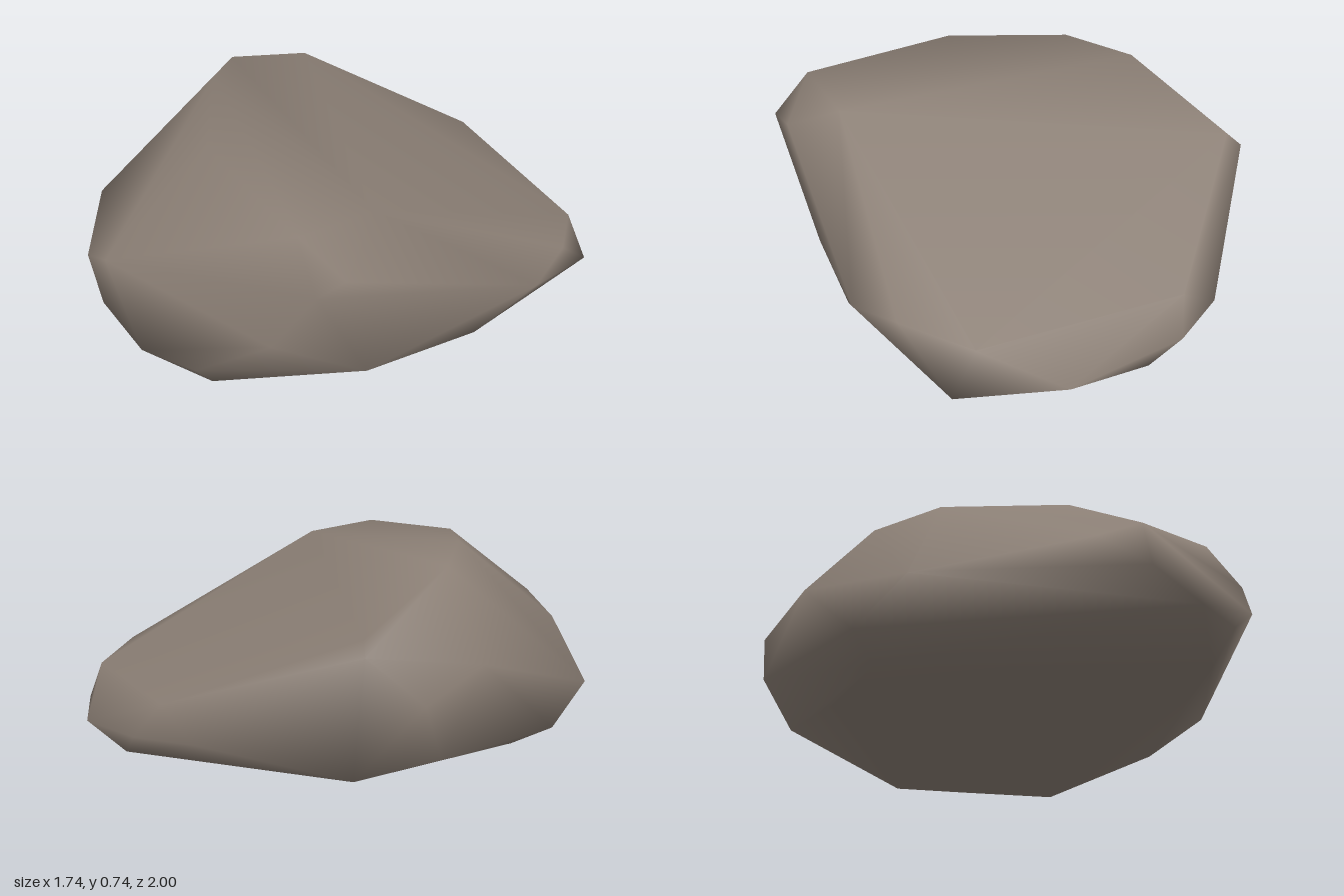
import * as THREE from 'three';
import { ConvexGeometry } from 'three/addons/geometries/ConvexGeometry.js';
import { mergeVertices } from 'three/addons/utils/BufferGeometryUtils.js';

// Corners of the boulder, grouped by region, as [x, y, z]
const crown = [
  [-0.39, 0.74, 0.23], [0, 0.715, 0.52], [0.61, 0.68, 0.57], [0.62, 0.655, 0.25],
  [-0.57, 0.69, 0.02],
];
const backSlope = [
  [-0.7, 0.51, -0.45], [-0.75, 0.46, -0.48], [-0.15, 0.24, -0.92], [0.62, 0.21, -0.78],
];
const frontFace = [
  [0, 0.41, 0.97], [-0.18, 0.32, 0.95], [0.01, 0.24, 1], [0.23, 0.155, 0.98],
  [0.44, 0.155, 0.89], [0.67, 0.33, 0.73],
];
const rightFlank = [
  [0.75, 0.53, 0.47], [0.75, 0.52, 0.6], [0.87, 0.21, -0.34], [0.8, 0.25, -0.55],
];
const leftFlank = [
  [-0.7, 0.2, 0.61], [-0.78, 0.08, 0.36], [-0.82, 0.385, -0.02],
  [-0.86, 0.29, -0.31], [-0.87, 0.1, -0.25],
];
const backRim = [
  [-0.32, 0.13, -0.89], [-0.09, 0.12, -1], [0.36, 0.065, -0.97], [0.72, 0.05, -0.79],
];
const base = [
  [-0.66, 0.005, 0.27], [-0.64, 0, -0.1], [-0.67, 0.01, -0.47], [0.03, 0.03, -0.97],
  [0.4, 0.03, 0.8], [0.71, 0.047, 0.34], [0.79, 0.05, -0.11],
];

export function createModel() {
  const group = new THREE.Group();
  const stone = new THREE.MeshStandardMaterial({ color: 0x8a7e74 });
  stone.name = 'warm grey stone';

  // Wrap the corners in a hull, then weld it so the shading runs smoothly over the edges
  const corners = [crown, backSlope, frontFace, rightFlank, leftFlank, backRim, base]
    .flat().map((p) => new THREE.Vector3(...p));
  let hull = new ConvexGeometry(corners);
  hull.deleteAttribute('normal');
  hull = mergeVertices(hull, 1e-4);
  hull.computeVertexNormals();

  const boulder = new THREE.Mesh(hull, stone);
  boulder.name = 'boulder';
  group.add(boulder);
  return group;
}
